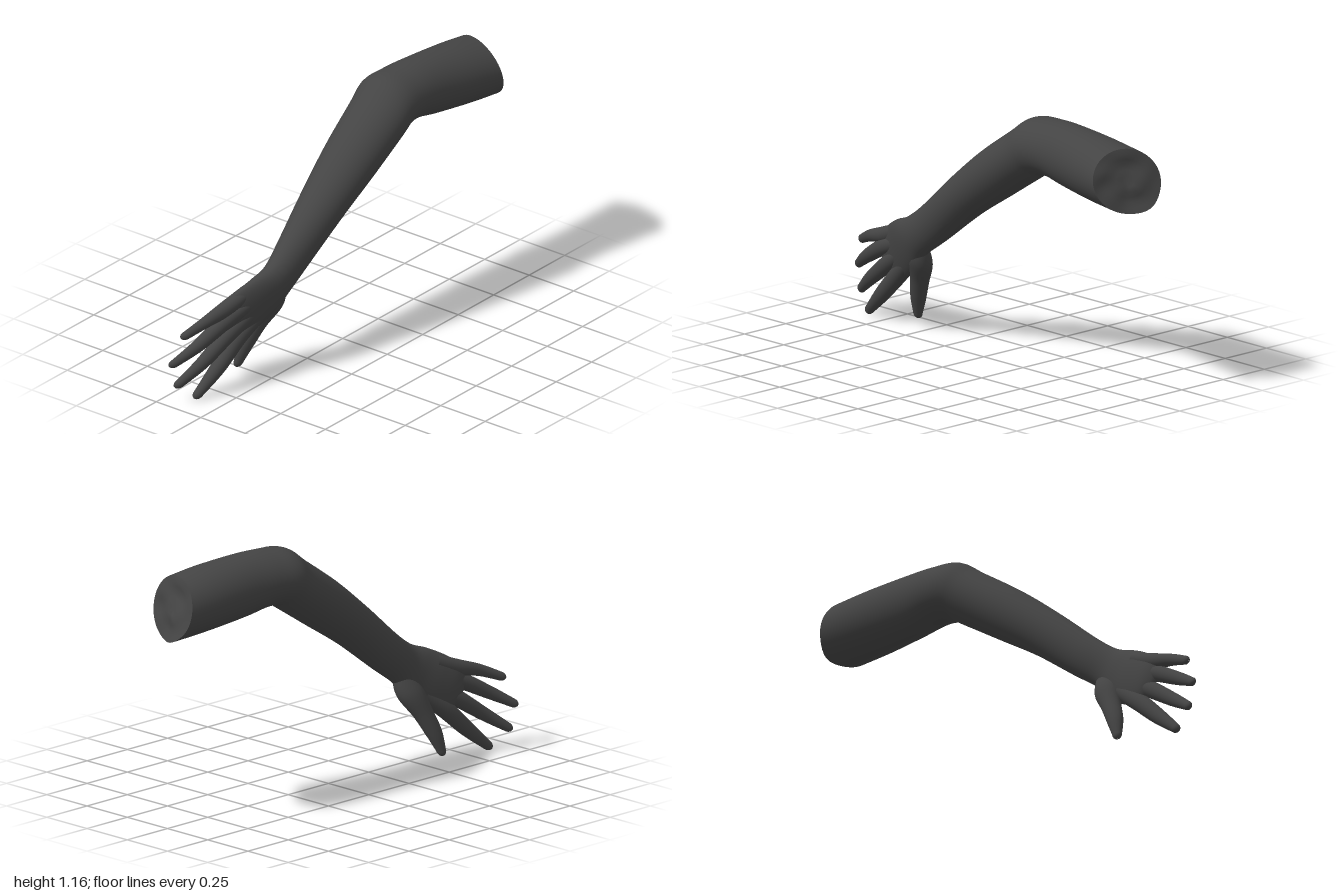
import * as THREE from 'three';

const SIDES = 40;
const material = new THREE.MeshStandardMaterial({ color: 0x444444 });

// Catmull-Rom through rows of numbers
function smoothRows(rows, steps) {
  const out = [];
  const at = (i) => rows[Math.max(0, Math.min(rows.length - 1, i))];
  for (let i = 0; i < rows.length - 1; i++) {
    for (let s = 0; s < steps; s++) {
      const t = s / steps;
      out.push(rows[i].map((b, k) => {
        const a = at(i - 1)[k], c = at(i + 1)[k], d = at(i + 2)[k];
        return b + 0.5 * t * (c - a + t * (2 * a - 5 * b + 4 * c - d + t * (3 * (b - c) + d - a)));
      }));
    }
  }
  out.push(rows[rows.length - 1]);
  return out;
}

// Oval ring from [upper x, upper y, lower x, lower y, back z, front z, slant]
function ring([ux, uy, lx, ly, back, front, slant = 0]) {
  const points = [];
  for (let j = 0; j < SIDES; j++) {
    const a = (j / SIDES) * Math.PI * 2, c = Math.cos(a) / 2, s = Math.sin(a) / 2;
    const dz = s * (front - back);
    points.push(new THREE.Vector3((ux + lx) / 2 + c * (ux - lx) - slant * dz,
      (uy + ly) / 2 + c * (uy - ly), (back + front) / 2 + dz));
  }
  return points;
}

// Smooth skin through a list of rings
function skin(name, rings) {
  const index = [];
  for (let i = 0; i < rings.length - 1; i++) {
    for (let j = 0; j < SIDES; j++) {
      const k = (j + 1) % SIDES, a = i * SIDES, b = a + SIDES;
      index.push(a + j, b + j, a + k, b + j, b + k, a + k);
    }
  }
  const geometry = new THREE.BufferGeometry().setFromPoints(rings.flat());
  geometry.setIndex(index);
  geometry.computeVertexNormals();
  const mesh = new THREE.Mesh(geometry, material);
  mesh.name = name;
  return mesh;
}

// Tapered digit along [x, y, z, radius] points, with a rounded tip
function digit(name, path, depth) {
  const rows = smoothRows(path, 8);
  const n = rows.length;
  const [ex, ey, ez, er] = rows[n - 1];
  const dir = new THREE.Vector3(ex, ey, ez).sub(new THREE.Vector3(...rows[n - 3])).normalize();
  for (let i = 1; i <= 6; i++) {
    const a = (i / 6) * Math.PI / 2, f = Math.sin(a) * er * 1.3;
    rows.push([ex + dir.x * f, ey + dir.y * f, ez + dir.z * f, Math.max(er * Math.cos(a), 0.0005)]);
  }
  const rings = rows.map(([x, y, z, r], i) => {
    const p = rows[Math.max(0, i - 1)], q = rows[Math.min(rows.length - 1, i + 1)];
    const dx = q[0] - p[0], dy = q[1] - p[1], len = Math.hypot(dx, dy);
    const hx = (dy / len) * r, hy = (-dx / len) * r;
    return ring([x + hx, y + hy, x - hx, y - hy, z - r * depth, z + r * depth]);
  });
  return skin(name, rings);
}

// Uneven cut surface closing the upper arm
function cutEnd(rim) {
  const centre = rim.reduce((s, p) => s.add(p), new THREE.Vector3()).divideScalar(SIDES);
  const points = [centre.clone().add(new THREE.Vector3(-0.005, 0, 0))];
  const index = [];
  const levels = 6;
  for (let i = 1; i <= levels; i++) {
    const t = i / levels;
    for (const p of rim) {
      const q = centre.clone().lerp(p, t);
      q.x += 0.012 * Math.sin(q.y * 40) * Math.cos(q.z * 18) * t * (1 - t) * 4;
      points.push(q);
    }
  }
  for (let j = 0; j < SIDES; j++) {
    const k = (j + 1) % SIDES;
    index.push(0, 1 + j, 1 + k);
    for (let i = 0; i < levels - 1; i++) {
      const a = 1 + i * SIDES, b = a + SIDES;
      index.push(a + j, b + j, b + k, a + j, b + k, a + k);
    }
  }
  const geometry = new THREE.BufferGeometry().setFromPoints(points);
  geometry.setIndex(index);
  geometry.computeVertexNormals();
  const mesh = new THREE.Mesh(geometry, material);
  mesh.name = 'upperArmCut';
  return mesh;
}

export function createModel() {
  const model = new THREE.Group();
  model.name = 'arm';

  // Upper arm, elbow, forearm, wrist and palm
  const sections = [
    [0.905, 1.14, 0.975, 0.86, -0.135, 0.187, 0.28],
    [0.76, 1.16, 0.78, 0.872, -0.14, 0.165, 0.12],
    [0.56, 1.174, 0.58, 0.893, -0.145, 0.135, 0],
    [0.42, 1.172, 0.46, 0.915, -0.158, 0.125, 0],
    [0.3, 1.158, 0.38, 0.912, -0.17, 0.13, 0],
    [0.2, 1.09, 0.32, 0.878, -0.162, 0.13, 0],
    [0.0, 0.952, 0.14, 0.763, -0.145, 0.118, 0],
    [-0.2, 0.79, -0.06, 0.635, -0.12, 0.095, 0],
    [-0.38, 0.633, -0.26, 0.485, -0.095, 0.065, 0],
    [-0.49, 0.553, -0.385, 0.395, -0.078, 0.05, 0],
    [-0.575, 0.52, -0.45, 0.32, -0.085, 0.025, 0],
    [-0.655, 0.48, -0.545, 0.255, -0.105, -0.015, 0],
    [-0.72, 0.435, -0.635, 0.23, -0.118, -0.05, 0],
    [-0.755, 0.39, -0.695, 0.25, -0.112, -0.07, 0],
    [-0.76, 0.345, -0.735, 0.29, -0.098, -0.085, 0],
  ];
  const rings = smoothRows(sections, 6).map(ring);
  // Lower back corner of the cut juts out a little
  for (const p of rings[0]) {
    p.x += 0.022 * Math.exp(-((p.y - 0.87) ** 2 + (p.z + 0.04) ** 2) / 0.006);
  }
  model.add(skin('armAndPalm', rings), cutEnd(rings[0].map((p) => p.clone())));

  // Four spread fingers, each starting inside the palm
  const fingers = {
    littleFinger: [[-0.6, 0.455, -0.055, 0.036], [-0.72, 0.41, -0.082, 0.036],
      [-0.83, 0.38, -0.105, 0.027], [-0.925, 0.34, -0.142, 0.02]],
    ringFinger: [[-0.58, 0.41, -0.045, 0.036], [-0.73, 0.35, -0.08, 0.037],
      [-0.87, 0.275, -0.118, 0.03], [-0.975, 0.213, -0.168, 0.02]],
    middleFinger: [[-0.56, 0.365, -0.045, 0.036], [-0.7, 0.28, -0.082, 0.038],
      [-0.84, 0.183, -0.115, 0.031], [-0.948, 0.107, -0.16, 0.021]],
    indexFinger: [[-0.53, 0.325, -0.05, 0.04], [-0.64, 0.235, -0.082, 0.041],
      [-0.755, 0.128, -0.1, 0.035], [-0.86, 0.035, -0.125, 0.022]],
  };
  for (const [name, path] of Object.entries(fingers)) model.add(digit(name, path, 0.95));

  // Thumb with its fleshy base
  model.add(digit('thumb', [
    [-0.425, 0.43, -0.02, 0.04], [-0.455, 0.35, -0.045, 0.062], [-0.5, 0.25, -0.085, 0.047],
    [-0.54, 0.155, -0.115, 0.038], [-0.563, 0.077, -0.135, 0.023],
  ], 0.9));

  return model;
}
